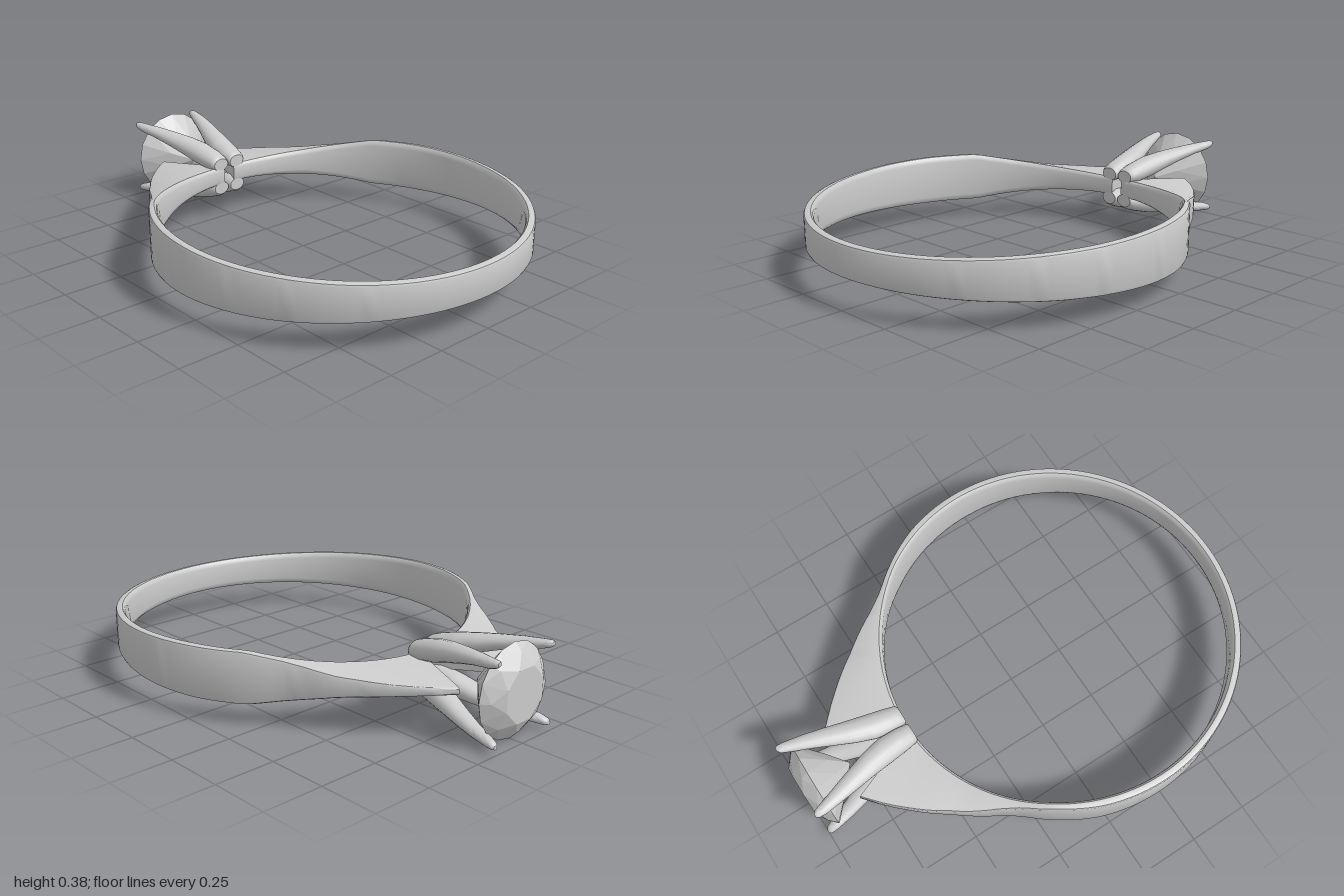
import * as THREE from 'three';
import { toCreasedNormals } from 'three/addons/utils/BufferGeometryUtils.js';
import { ConvexGeometry } from 'three/addons/geometries/ConvexGeometry.js';

const MID_Y = 0.19;      // mid height of the whole ring
const RING_Z = 0.225;    // centre of the finger hole
const INNER_R = 0.73;

const material = new THREE.MeshStandardMaterial({ color: 0xcccccc });

// Piecewise linear lookup in a list of [key, value...] rows with rising keys
function lookup(rows, key, col = 1) {
  let i = 0;
  while (i < rows.length - 2 && key > rows[i + 1][0]) i++;
  const [a, b] = [rows[i], rows[i + 1]];
  const t = THREE.MathUtils.clamp((key - a[0]) / (b[0] - a[0]), 0, 1);
  return a[col] + (b[col] - a[col]) * t;
}

// Skin a row of equal-sized rings and cap both ends
function loft(rings, crease) {
  const n = rings[0].length, last = (rings.length - 1) * n;
  const index = [];
  for (let i = 0; i < rings.length - 1; i++) {
    for (let j = 0; j < n; j++) {
      const a = i * n + j, b = i * n + (j + 1) % n;
      index.push(a, b, b + n, a, b + n, a + n);
    }
  }
  for (let j = 1; j < n - 1; j++) {
    index.push(0, j + 1, j, last, last + j, last + j + 1);
  }
  const geometry = new THREE.BufferGeometry();
  geometry.setAttribute('position', new THREE.Float32BufferAttribute(rings.flat(2), 3));
  geometry.setIndex(index);
  return toCreasedNormals(geometry, crease);
}

function add(group, name, geometry, mat = material) {
  const mesh = new THREE.Mesh(geometry, mat);
  mesh.name = name;
  group.add(mesh);
}

// Outer radius by angle from the back (degrees), flaring into the shoulders
const OUTER = [[8, 1.055], [11.3, 1.02], [18, 0.953], [27, 0.872], [34, 0.826],
  [40, 0.788], [46, 0.767], [56, 0.764], [70, 0.77], [180, 0.77]];
// Half height of the band by z
const HALF = [[-0.83, 0.014], [-0.7, 0.021], [-0.5, 0.042], [-0.2, 0.106], [0, 0.106],
  [0.2, 0.101], [0.6, 0.085], [1, 0.065]];

// One band cross-section at angle phi, with softened edges
function bandSection(phi) {
  const side = phi <= 180 ? 1 : -1;
  const a = side > 0 ? phi : 360 - phi;
  const at = (deg, r) => {
    const t = THREE.MathUtils.degToRad(deg);
    return [side * r * Math.sin(t), RING_Z - r * Math.cos(t)];
  };
  const outDeg = a < 40 ? 8 + a * 0.8 : a;
  const inDeg = a < 40 ? 2 + a * 0.95 : a;
  const out = at(outDeg, lookup(OUTER, outDeg));
  const inn = at(inDeg, INNER_R);
  const width = Math.hypot(out[0] - inn[0], out[1] - inn[1]);
  const half = [lookup(HALF, out[1]), lookup(HALF, inn[1])];
  // depth runs 0 at the outside to 1 at the inside; drop is taken off the height
  const edge = 0.012 / width;
  const dropOut = Math.min(0.012, half[0] * 0.4), dropIn = Math.min(0.025, half[1] * 0.4);
  const upper = [[0, dropOut], [edge * 0.3, dropOut * 0.3], [edge, 0],
    [1 - edge, 0], [1 - edge * 0.3, dropIn * 0.4], [1, dropIn]];
  const point = ([d, drop], sign) => [
    out[0] + (inn[0] - out[0]) * d,
    MID_Y + sign * (half[0] + (half[1] - half[0]) * d - drop),
    out[1] + (inn[1] - out[1]) * d,
  ];
  return [...upper.map((p) => point(p, 1)), ...upper.slice().reverse().map((p) => point(p, -1))];
}

// Claw rows: z, centre x, half width x, centre y, half width y (tip to base)
const CLAW = [[-1, 0.156, 0.009, 0.156, 0.008], [-0.99, 0.153, 0.018, 0.153, 0.014],
  [-0.96, 0.147, 0.024, 0.147, 0.019], [-0.88, 0.125, 0.034, 0.137, 0.024],
  [-0.8, 0.101, 0.043, 0.122, 0.031], [-0.72, 0.077, 0.051, 0.104, 0.039],
  [-0.64, 0.058, 0.056, 0.084, 0.046], [-0.56, 0.049, 0.051, 0.066, 0.043],
  [-0.515, 0.046, 0.044, 0.058, 0.034], [-0.505, 0.044, 0.038, 0.055, 0.028]];

function clawGeometry(sx, sy) {
  const sides = 16;
  const rings = [];
  for (let i = 0; i <= 48; i++) {
    const z = i < 4 ? -1 + i * 0.0035 : -0.9895 + (i - 3) / 45 * 0.4845;
    const [cx, rx, cy, ry] = [1, 2, 3, 4].map((c) => lookup(CLAW, z, c));
    rings.push(Array.from({ length: sides }, (_, j) => {
      const t = j / sides * Math.PI * 2;
      return [sx * cx + rx * Math.cos(t), MID_Y + sy * cy + ry * Math.sin(t), z];
    }));
  }
  return loft(rings, 0.8);
}

// Round brilliant cut: table, crown, girdle and pointed pavilion
function gemGeometry() {
  const points = [new THREE.Vector3(0, MID_Y, -0.78)];
  const ring = (count, r, z, shift) => {
    for (let i = 0; i < count; i++) {
      const t = (i + shift) / count * Math.PI * 2;
      points.push(new THREE.Vector3(r * Math.cos(t), MID_Y + r * Math.sin(t), z));
    }
  };
  ring(8, 0.11, -1, 0.5);
  ring(8, 0.157, -0.972, 0);
  ring(16, 0.188, -0.942, 0);
  ring(8, 0.085, -0.848, 0.5);
  return new ConvexGeometry(points);
}

export function createModel() {
  const ring = new THREE.Group();
  ring.name = 'ring';

  // Band with both shoulders, swept once around the finger hole
  const sections = Array.from({ length: 121 }, (_, i) => bandSection(i * 3));
  add(ring, 'band', loft(sections, 0.6));

  // Four claws holding the stone
  const claws = new THREE.Group();
  claws.name = 'claws';
  for (const sx of [1, -1]) {
    for (const sy of [1, -1]) {
      add(claws, `${sy > 0 ? 'upper' : 'lower'}${sx > 0 ? 'Left' : 'Right'}Claw`, clawGeometry(sx, sy));
    }
  }
  ring.add(claws);

  // Faceted stone
  const facetMaterial = new THREE.MeshStandardMaterial({ color: 0xcccccc, flatShading: true });
  add(ring, 'stone', gemGeometry(), facetMaterial);
  return ring;
}
